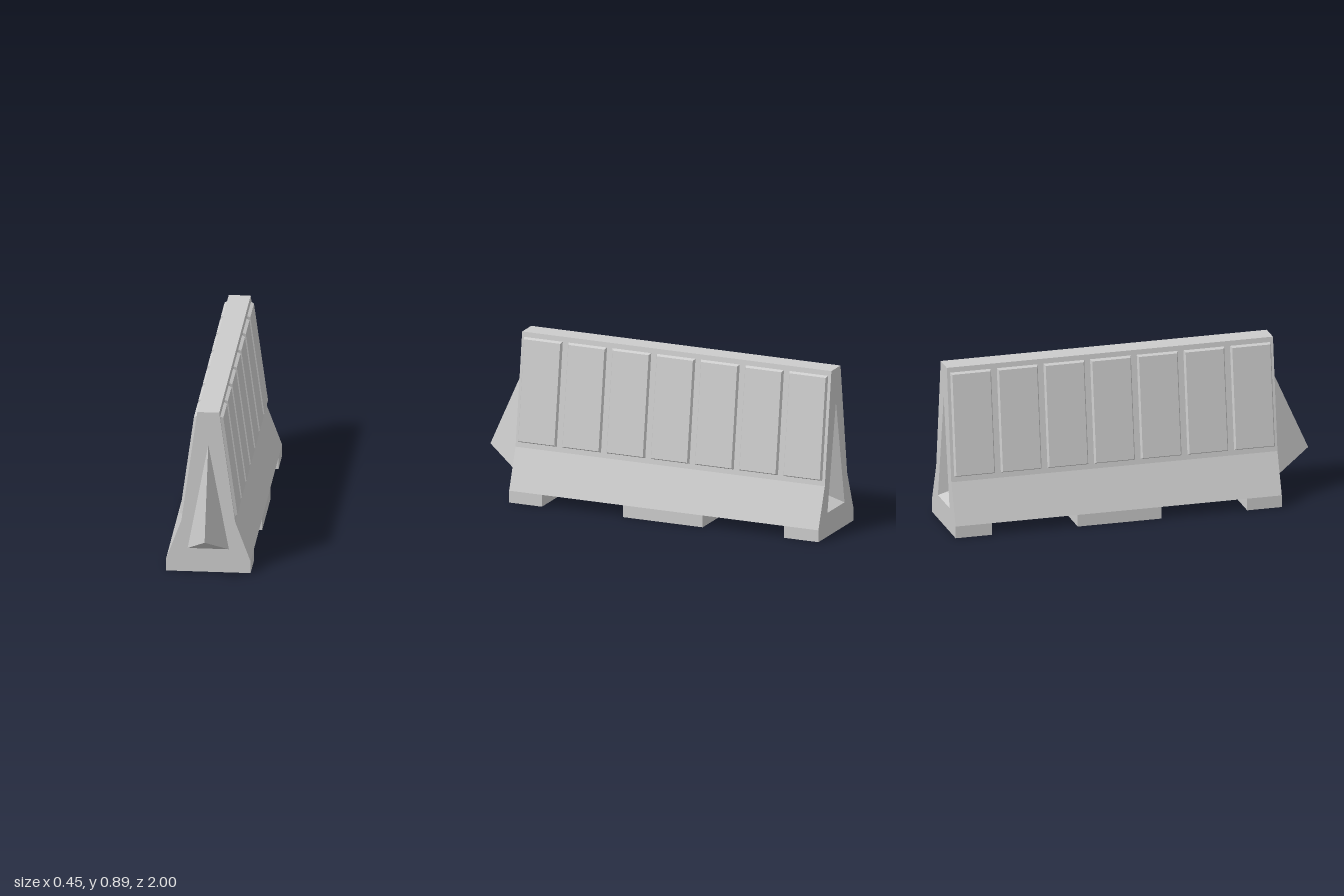
import * as THREE from 'three';

const FRONT = 0.79, BACK = -1, BASE = 0.224, LIFT = 0.065;
const material = new THREE.MeshStandardMaterial({ color: 0xcccccc, flatShading: true });

// Flat-faced geometry from triangles and quads with counter-clockwise corners
function facets(faces) {
  const pos = [];
  for (const [a, b, c, d] of faces) {
    pos.push(...a, ...b, ...c);
    if (d) pos.push(...a, ...c, ...d);
  }
  const g = new THREE.BufferGeometry();
  g.setAttribute('position', new THREE.Float32BufferAttribute(pos, 3));
  g.computeVertexNormals();
  return g;
}

function add(parent, name, geometry) {
  const mesh = new THREE.Mesh(geometry, material);
  mesh.name = name;
  parent.add(mesh);
  return mesh;
}

export function createModel() {
  const group = new THREE.Group();
  group.name = 'roadBarrier';

  // Sloped walls and top, swept from front to back
  const half = [[BASE, LIFT], [0.142, 0.285], [0.058, 0.895]];
  const profile = [...half, ...half.map(([x, y]) => [-x, y]).reverse()];
  const walls = [];
  for (let i = 0; i < profile.length - 1; i++) {
    const p = profile[i], q = profile[i + 1];
    walls.push([[...p, FRONT], [...p, BACK], [...q, BACK], [...q, FRONT]]);
  }
  add(group, 'walls', facets(walls));

  // Stepped underside with three feet
  const feet = [[FRONT, 0.6], [0.13, -0.33], [-0.8, BACK]];
  const path = feet.flatMap(([a, b]) => [[LIFT, a], [0, a], [0, b], [LIFT, b]]).slice(1, -1);
  const under = [];
  for (let i = 0; i < path.length - 1; i++) {
    const p = path[i], q = path[i + 1];
    under.push([[-BASE, ...p], [-BASE, ...q], [BASE, ...q], [BASE, ...p]]);
  }
  for (const [a, b] of feet) {
    under.push([[BASE, 0, a], [BASE, 0, b], [BASE, LIFT, b], [BASE, LIFT, a]]);
    under.push([[-BASE, 0, b], [-BASE, 0, a], [-BASE, LIFT, a], [-BASE, LIFT, b]]);
  }
  add(group, 'feet', facets(under));

  // End faces, each with a triangular opening for the connector
  const tri = [[-0.109, 0.13], [0.109, 0.13], [0, 0.712]];
  const outline = [[-BASE, 0], [BASE, 0], ...profile].map(p => new THREE.Vector2(...p));
  const end = new THREE.Shape(outline);
  end.holes.push(new THREE.Path(tri.map(p => new THREE.Vector2(...p)).reverse()));
  const endGeometry = new THREE.ShapeGeometry(end);
  add(group, 'frontEnd', endGeometry).position.z = FRONT;
  const backEnd = add(group, 'backEnd', endGeometry);
  backEnd.position.z = BACK;
  backEnd.rotation.y = Math.PI;

  // Pyramid connector at the front and its matching socket at the back
  const pyramid = z => tri.map((p, i) => [[...p, z], [...tri[(i + 1) % 3], z], [0, 0.24, z + 0.21]]);
  add(group, 'connector', facets(pyramid(FRONT)));
  add(group, 'socket', facets(pyramid(BACK).map(f => f.reverse())));

  // Raised panels with bevelled edges on both sides
  const wallX = y => 0.142 - (y - 0.285) * 0.084 / 0.61;
  const ring = (grow, raise) => [[0.32 - grow, 1], [0.32 - grow, -1], [0.86 + grow, -1], [0.86 + grow, 1]]
    .map(([y, s]) => [wallX(y) + raise, y, s * (0.104 + grow)]);
  const inner = ring(0.008, 0), outer = ring(0, 0.015);
  const panelFaces = [outer];
  for (let i = 0; i < 4; i++) {
    const j = (i + 1) % 4;
    panelFaces.push([inner[i], inner[j], outer[j], outer[i]]);
  }
  const panelGeometry = facets(panelFaces);
  for (const side of ['left', 'right']) {
    for (let i = 0; i < 7; i++) {
      const panel = add(group, side + 'Panel', panelGeometry);
      panel.position.z = 0.665 - i * 0.256;
      if (side === 'right') panel.rotation.y = Math.PI;
    }
  }
  return group;
}
